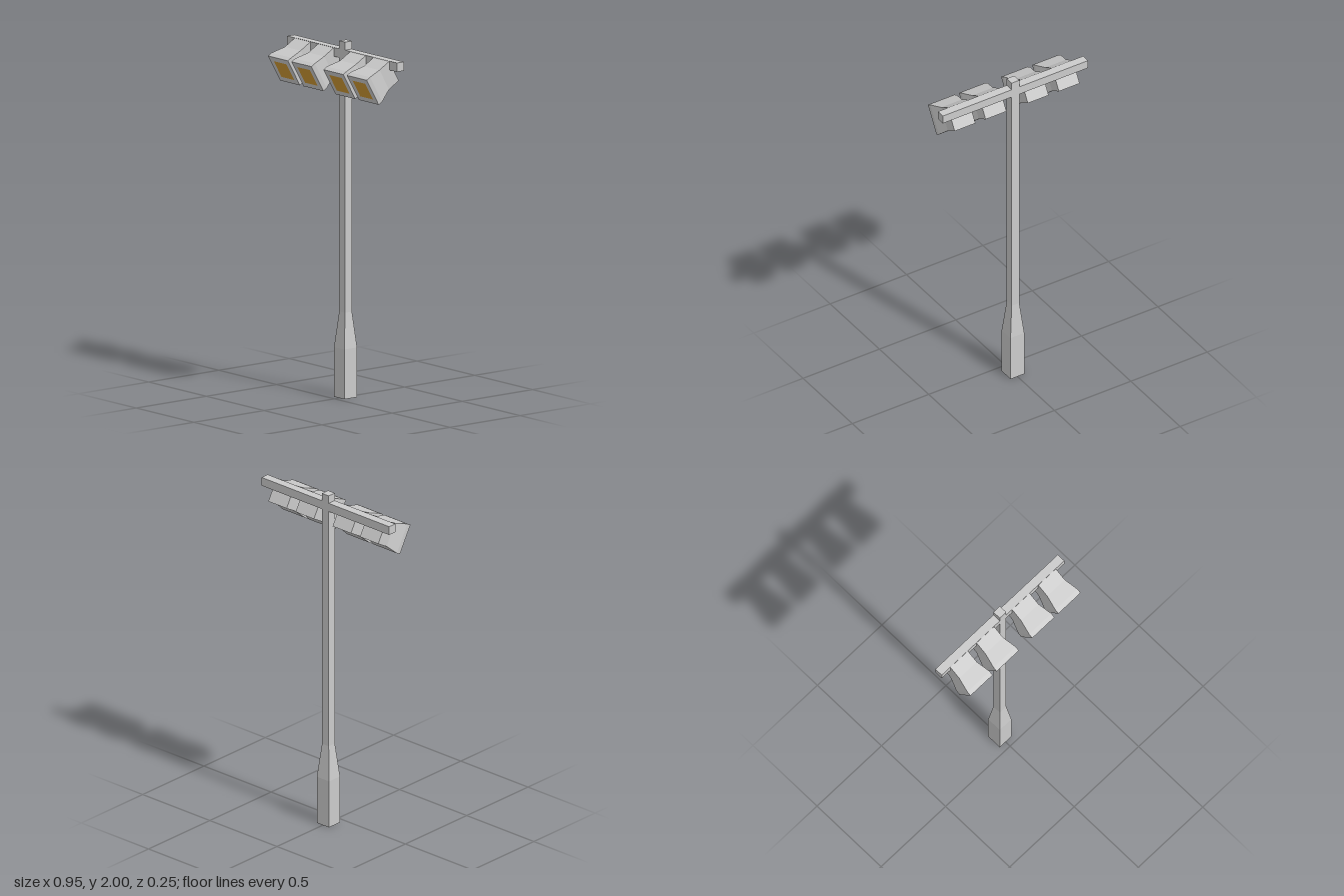
import * as THREE from 'three';

const grey = new THREE.MeshStandardMaterial({ color: 0xcccccc, flatShading: true });
const greyOpen = new THREE.MeshStandardMaterial({ color: 0xcccccc, flatShading: true, side: THREE.DoubleSide });
const amber = new THREE.MeshStandardMaterial({ color: 0xcf9a35 });

const POST_Z = -0.08;

// Square-section solid along y from [halfWidth, height] pairs
function squareProfile(pairs) {
  const points = pairs.map(([half, y]) => new THREE.Vector2(half * Math.SQRT2, y));
  return new THREE.LatheGeometry(points, 4).rotateY(Math.PI / 4);
}

function addMesh(parent, name, geometry, material) {
  const mesh = new THREE.Mesh(geometry, material);
  mesh.name = name;
  parent.add(mesh);
  return mesh;
}

// Floodlight: front at y = 0, back towards +y, then tilted to shine forward and down
function createLamp(x) {
  const lamp = new THREE.Group();
  lamp.name = 'floodlight';
  addMesh(lamp, 'lampHousing', squareProfile([
    [0.055, 0], [0.086, 0], [0.086, 0.028], [0.068, 0.112], [0.068, 0.192], [0, 0.192],
  ]), grey);
  addMesh(lamp, 'lampPanel', new THREE.PlaneGeometry(0.11, 0.11).rotateX(Math.PI / 2), amber);
  lamp.rotation.x = -Math.PI / 3;
  lamp.position.set(x, 1.799, 0.078);
  return lamp;
}

export function createModel() {
  const model = new THREE.Group();
  model.name = 'floodlightMast';

  // Post with wide foot, open underneath
  const post = addMesh(model, 'post', squareProfile([
    [0.045, 0], [0.045, 0.28], [0.025, 0.48], [0.025, 2], [0, 2],
  ]), greyOpen);
  post.position.z = POST_Z;

  // Crossbar through the post
  const bar = addMesh(model, 'crossbar', new THREE.BoxGeometry(0.95, 0.05, 0.05), grey);
  bar.position.set(0, 1.93, POST_Z);

  // Two floodlights on each side
  for (const side of [-1, 1]) {
    for (const x of [0.138, 0.341]) model.add(createLamp(side * x));
  }
  return model;
}
